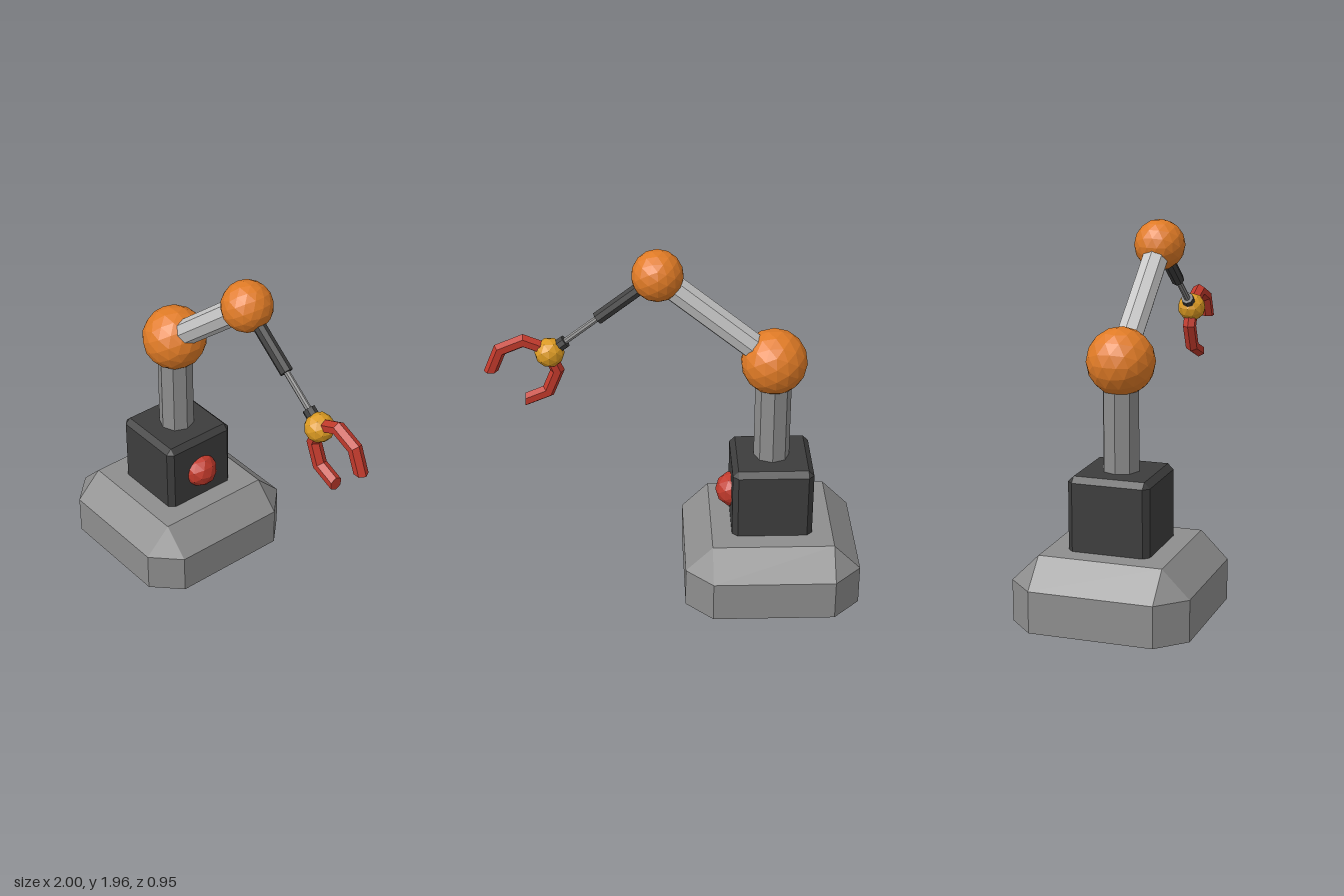
import * as THREE from 'three';

const mat = (name, color) => {
  const m = new THREE.MeshStandardMaterial({ color, flatShading: true });
  m.name = name;
  return m;
};

export function createModel() {
  const grey = mat('steel grey', 0x8e8e8e);
  const silver = mat('light silver', 0xc8c8c8);
  const dark = mat('charcoal', 0x3d3d3d);
  const orange = mat('joint orange', 0xe07b26);
  const red = mat('signal red', 0xc0392b);
  const amber = mat('amber', 0xdb9a22);

  const model = new THREE.Group();
  model.name = 'robotArm';
  const add = (name, geo, material, x = 0, y = 0, z = 0) => {
    const mesh = new THREE.Mesh(geo, material);
    mesh.name = name;
    mesh.position.set(x, y, z);
    model.add(mesh);
    return mesh;
  };

  // Block with chamfered vertical corners and a bevelled top rim
  const bevelBlock = (half, height, c) => {
    const i = half - c, s = height - c;
    const octagon = [[half, -i], [half, i], [i, half], [-i, half], [-half, i], [-half, -i], [-i, -half], [i, -half]];
    const corners = [[i, -i], [i, i], [i, i], [-i, i], [-i, i], [-i, -i], [-i, -i], [i, -i]];
    const p = [];
    for (let k = 0; k < 8; k++) {
      const n = (k + 1) % 8;
      const [a, b] = [octagon[k], octagon[n]], [c0, c1] = [corners[k], corners[n]];
      const lo0 = [a[0], 0, a[1]], lo1 = [b[0], 0, b[1]];
      const up0 = [a[0], s, a[1]], up1 = [b[0], s, b[1]];
      const top0 = [c0[0], height, c0[1]], top1 = [c1[0], height, c1[1]];
      p.push(lo0, up0, lo1, lo1, up0, up1, up0, top0, up1);
      if (k % 2 === 0) p.push(up1, top0, top1, top0, [0, height, 0], top1);
      p.push(lo0, lo1, [0, 0, 0]);
    }
    const g = new THREE.BufferGeometry();
    g.setAttribute('position', new THREE.Float32BufferAttribute(p.flat(), 3));
    g.computeVertexNormals();
    return g;
  };

  // Octagonal rod between two points in the arm's plane
  const rod = (name, a, b, r, material) => {
    const dx = b[0] - a[0], dy = b[1] - a[1];
    const mesh = add(name, new THREE.CylinderGeometry(r, r, Math.hypot(dx, dy), 8), material,
      (a[0] + b[0]) / 2, (a[1] + b[1]) / 2);
    mesh.rotation.z = Math.atan2(dy, dx) - Math.PI / 2;
  };
  const ball = (name, [x, y], r, detail, material) =>
    add(name, new THREE.IcosahedronGeometry(r, detail), material, x, y);

  const X = -0.527;
  const shoulder = [X, 1.32], elbow = [0.086, 1.824], wrist = [0.652, 1.39];
  const along = t => [elbow[0] + (wrist[0] - elbow[0]) * t, elbow[1] + (wrist[1] - elbow[1]) * t];

  // Base, housing and button
  add('base', bevelBlock(0.473, 0.365, 0.145), grey, X);
  add('housing', bevelBlock(0.218, 0.395, 0.03), dark, X, 0.36);
  ball('button', [-0.323, 0.535], 0.098, 1, red);

  // Column, joints and arm links
  rod('column', [X, 0.74], shoulder, 0.097, grey);
  ball('shoulderJoint', shoulder, 0.177, 2, orange);
  rod('upperArm', shoulder, elbow, 0.071, silver);
  ball('elbowJoint', elbow, 0.136, 2, orange);
  rod('forearmSleeve', elbow, along(0.55), 0.036, dark);
  rod('forearmPiston', along(0.5), wrist, 0.017, grey);
  rod('wristCollar', along(0.85), along(0.92), 0.035, dark);
  ball('wristJoint', wrist, 0.079, 1, amber);

  // Claw: three-quarter ring in 45 degree steps, with closed finger tips
  const cx = 0.788, cy = 1.287, ring = 0.174, tube = 0.038;
  add('claw', new THREE.TorusGeometry(ring, tube, 6, 6, Math.PI * 1.5), red, cx, cy);
  const upperTip = add('upperFingerTip', new THREE.CircleGeometry(tube, 6), red, cx + ring, cy);
  upperTip.rotation.x = Math.PI / 2;
  const lowerTip = add('lowerFingerTip', new THREE.CircleGeometry(tube, 6), red, cx, cy - ring);
  lowerTip.rotation.set(Math.PI / 2, Math.PI / 2, 0, 'ZYX');
  lowerTip.rotation.set(0, Math.PI / 2, Math.PI / 2, 'YZX');
  return model;
}
